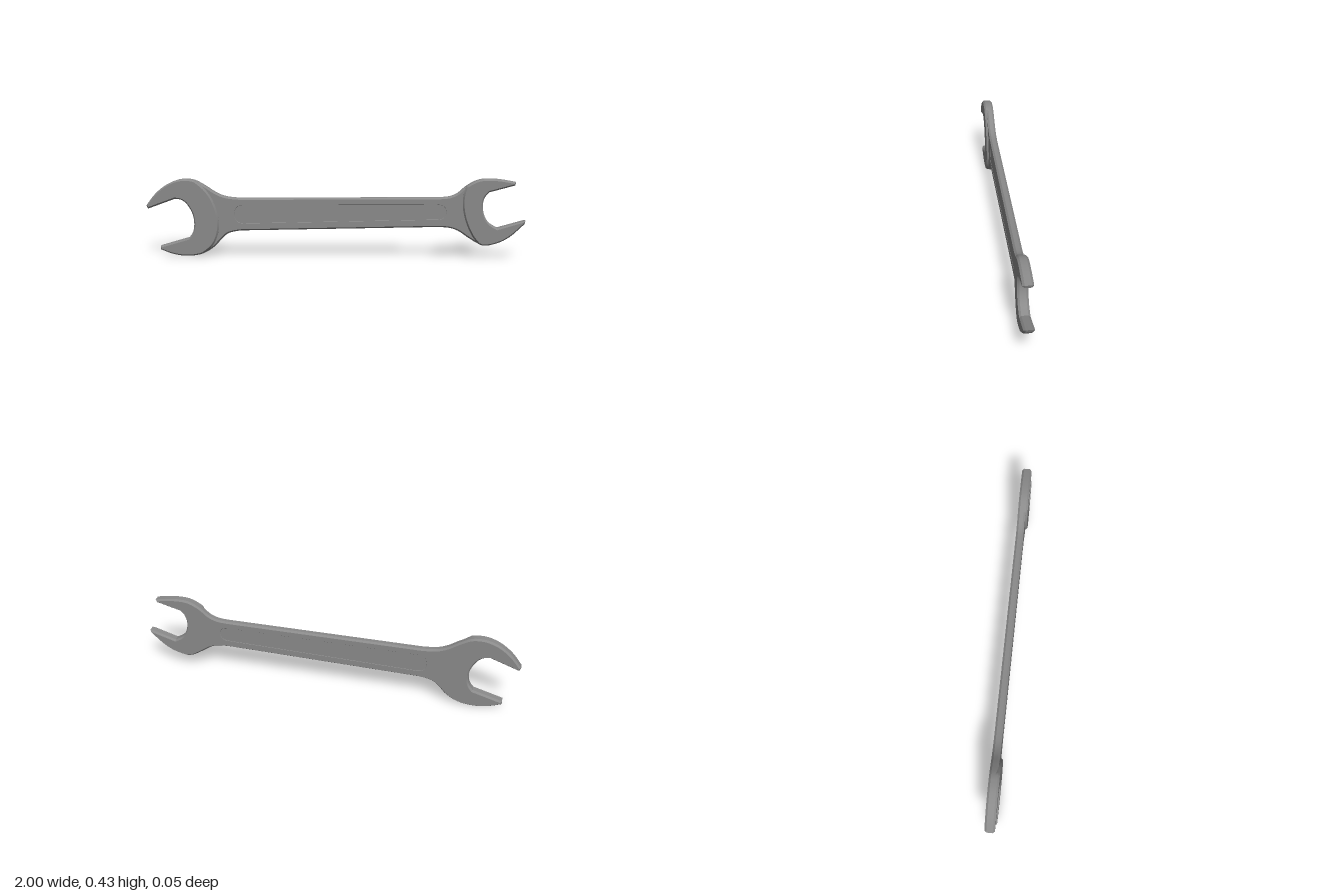
import * as THREE from 'three';
import { toCreasedNormals } from 'three/addons/utils/BufferGeometryUtils.js';

const STEPS = 5; // samples between two profile points
const BEVEL = 0.008;
const BEVEL_DEPTH = 0.01;

const spline = (pts) => new THREE.SplineCurve(pts.map(([x, y]) => new THREE.Vector2(x, y)))
  .getPoints((pts.length - 1) * STEPS);

// Each head: outer edges run from jaw tip to handle, the throat from upper to lower jaw.
// topCut and bottomCut are the profile points where the raised face ends, along the neck curve.
const heads = {
  large: {
    top: spline([[-1, 0.272], [-0.95, 0.335], [-0.89, 0.383], [-0.83, 0.408], [-0.78, 0.413], [-0.735, 0.405],
      [-0.68, 0.375], [-0.625, 0.34], [-0.57, 0.32], [-0.5, 0.313]]),
    bottom: spline([[-0.93, 0.034], [-0.86, 0.009], [-0.78, 0], [-0.7, 0.014], [-0.64, 0.05], [-0.6, 0.093],
      [-0.56, 0.125], [-0.5, 0.139]]),
    throat: [new THREE.Vector2(-0.992, 0.254),
      ...spline([[-0.845, 0.308], [-0.81, 0.302], [-0.78, 0.277], [-0.754, 0.23], [-0.745, 0.18], [-0.752, 0.132], [-0.775, 0.098]]),
      new THREE.Vector2(-0.93, 0.052)],
    topCut: 5, bottomCut: 3,
    neck: [[-0.685, 0.363], [-0.645, 0.305], [-0.619, 0.23], [-0.612, 0.16], [-0.627, 0.095], [-0.655, 0.05]],
  },
  small: {
    top: spline([[0.945, 0.408], [0.87, 0.421], [0.8, 0.425], [0.745, 0.416], [0.69, 0.385], [0.645, 0.347],
      [0.6, 0.329], [0.54, 0.324]]),
    bottom: spline([[0.995, 0.19], [0.965, 0.16], [0.92, 0.12], [0.866, 0.09], [0.8, 0.073], [0.76, 0.081],
      [0.706, 0.113], [0.65, 0.15], [0.6, 0.165], [0.54, 0.168]]),
    throat: [new THREE.Vector2(0.94, 0.392),
      ...spline([[0.81, 0.356], [0.786, 0.327], [0.777, 0.283], [0.786, 0.235], [0.812, 0.193], [0.855, 0.166]]),
      new THREE.Vector2(1, 0.208)],
    topCut: 4, bottomCut: 5,
    neck: [[0.677, 0.345], [0.673, 0.295], [0.681, 0.235], [0.7, 0.175], [0.728, 0.12]],
  },
};

// Rounded slot that narrows towards the small head; grow widens it evenly
function slot(grow, Type) {
  const x0 = -0.522 - grow, x1 = 0.582 + grow, r = 0.042;
  const y = [0.186 - grow, 0.216 - grow, 0.281 + grow, 0.27 + grow];
  const s = new Type();
  s.moveTo(x0 + r, y[0]);
  s.lineTo(x1 - r, y[1]);
  s.quadraticCurveTo(x1, y[1], x1, (y[1] + y[2]) / 2);
  s.quadraticCurveTo(x1, y[2], x1 - r, y[2]);
  s.lineTo(x0 + r, y[3]);
  s.quadraticCurveTo(x0, y[3], x0, (y[0] + y[3]) / 2);
  s.quadraticCurveTo(x0, y[0], x0 + r, y[0]);
  return s;
}

// Chamfered plate between two z levels that keeps the outline as its widest section
function plate(name, shape, back, front, material, bevelEnabled = true) {
  const inset = bevelEnabled ? BEVEL_DEPTH : 0;
  const geometry = new THREE.ExtrudeGeometry(shape, {
    depth: front - back - 2 * inset, curveSegments: 8, bevelEnabled,
    bevelThickness: BEVEL_DEPTH, bevelSize: BEVEL, bevelOffset: -BEVEL, bevelSegments: 1,
  });
  geometry.translate(0, 0, back + inset);
  const mesh = new THREE.Mesh(toCreasedNormals(geometry, 0.5), material);
  mesh.name = name;
  return mesh;
}

export function createModel() {
  const group = new THREE.Group();
  group.name = 'openEndedWrench';
  const steel = new THREE.MeshStandardMaterial({ color: 0x8a8a8a });
  const { large, small } = heads;

  // Full silhouette, with the slot cut through the handle
  const body = new THREE.Shape([
    ...large.top, ...small.top.slice().reverse(), ...small.throat,
    ...small.bottom, ...large.bottom.slice().reverse(), ...large.throat.slice().reverse(),
  ]);
  body.holes.push(slot(0, THREE.Path));
  group.add(plate('body', body, -0.026, 0.015, steel));

  // Thin web closing the slot, leaving a very shallow recess on both sides
  group.add(plate('recessedPanel', slot(0.007, THREE.Shape), -0.0245, 0.0135, steel, false));

  // Raised jaw faces on the front, ending in a curved step at the neck
  for (const [size, head] of Object.entries(heads)) {
    const top = head.top.slice(0, head.topCut * STEPS + 1);
    const bottom = head.bottom.slice(0, head.bottomCut * STEPS + 1).reverse();
    const a = top[top.length - 1], b = bottom[0];
    const step = spline([[a.x, a.y], ...head.neck, [b.x, b.y]]).slice(1, -1);
    const outline = new THREE.Shape([...top, ...step, ...bottom, ...head.throat.slice().reverse()]);
    group.add(plate(size + 'JawFace', outline, -0.006, 0.026, steel));
  }
  return group;
}
